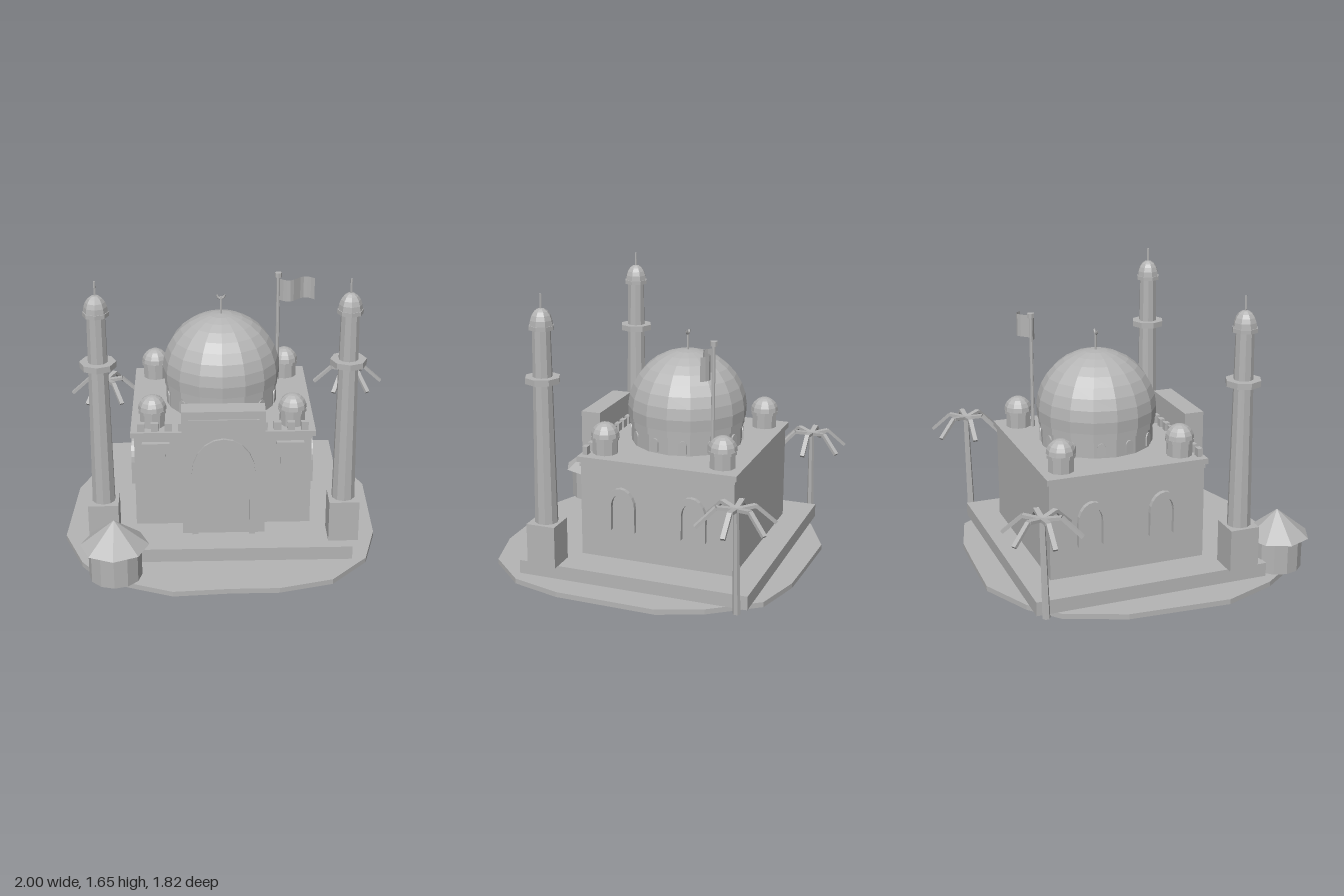
import * as THREE from 'three';

const stoneGrey = new THREE.MeshStandardMaterial({ color: 0xb4b4b4, flatShading: true, side: THREE.DoubleSide });
stoneGrey.name = 'stoneGrey';

const CX = -0.055, CZ = -0.15; // centre of the building

function add(parent, name, geometry, x = 0, y = 0, z = 0) {
  const mesh = new THREE.Mesh(geometry, stoneGrey);
  mesh.name = name;
  mesh.position.set(x, y, z);
  parent.add(mesh);
  return mesh;
}

function group(parent, name, x = 0, y = 0, z = 0) {
  const g = new THREE.Group();
  g.name = name;
  g.position.set(x, y, z);
  parent.add(g);
  return g;
}

// box given by its lower and upper corners
function box(parent, name, [x0, y0, z0], [x1, y1, z1]) {
  return add(parent, name, new THREE.BoxGeometry(x1 - x0, y1 - y0, z1 - z0),
    (x0 + x1) / 2, (y0 + y1) / 2, (z0 + z1) / 2);
}

// upright cylinder or cone from y0 to y1
function column(parent, name, rBottom, rTop, y0, y1, sides, x = 0, z = 0) {
  return add(parent, name, new THREE.CylinderGeometry(rTop, rBottom, y1 - y0, sides), x, (y0 + y1) / 2, z);
}

function dome(parent, name, r, y, sides, rings, sweep = Math.PI / 2) {
  return add(parent, name, new THREE.SphereGeometry(r, sides, rings, 0, Math.PI * 2, 0, sweep), 0, y, 0);
}

// square bar between two points
function bar(parent, name, a, b, width, thick) {
  const mesh = add(parent, name, new THREE.BoxGeometry(width, thick, a.distanceTo(b)));
  mesh.position.copy(a).lerp(b, 0.5);
  mesh.rotation.x = Math.atan2(a.y - b.y, b.z - a.z);
  return mesh;
}

function archPoints(half, spring, top) {
  const pts = [new THREE.Vector2(half, 0)];
  for (let i = 0; i <= 10; i++) {
    const t = (i / 10) * Math.PI;
    pts.push(new THREE.Vector2(half * Math.cos(t), spring + (top - spring) * Math.sin(t)));
  }
  pts.push(new THREE.Vector2(-half, 0));
  return pts;
}

// arch open at the bottom, standing on y = 0 and facing +z
function archFrame(half, spring, top, band, depth) {
  const outline = [...archPoints(half, spring, top), ...archPoints(half - band, spring, top - band).reverse()];
  return new THREE.ExtrudeGeometry(new THREE.Shape(outline), { depth, bevelEnabled: false });
}

function buildGround(parent) {
  const outline = [[-0.345, -0.91], [0, -0.9], [0.25, -0.89], [0.54, -0.81], [0.74, -0.54], [0.84, -0.29],
    [0.83, 0.3], [0.75, 0.59], [0.54, 0.81], [0.24, 0.89], [-0.03, 0.89], [-0.345, 0.91], [-0.55, 0.83],
    [-0.74, 0.75], [-0.86, 0.59], [-0.975, 0.29], [-0.94, -0.29], [-0.81, -0.62], [-0.64, -0.77]];
  const shape = new THREE.Shape(outline.map(([x, z]) => new THREE.Vector2(x, -z)));
  const geometry = new THREE.ExtrudeGeometry(shape, { depth: 0.03, bevelEnabled: false });
  add(parent, 'ground', geometry.rotateX(-Math.PI / 2));
  box(parent, 'platform', [-0.785, 0.03, -0.757], [0.67, 0.11, 0.6]);
}

function buildHall(parent) {
  const hall = group(parent, 'hall');
  box(hall, 'walls', [-0.56, 0.11, -0.605], [0.45, 0.675, 0.307]);
  box(hall, 'roofSlab', [-0.58, 0.672, -0.62], [0.472, 0.705, 0.322]);
  for (let i = -6; i <= 6; i++) {
    const x = CX + i * 0.0775;
    box(hall, 'merlon', [x - 0.021, 0.705, 0.275], [x + 0.021, 0.753, 0.305]);
  }
  // entrance
  box(hall, 'portal', [-0.29, 0.11, 0.305], [0.18, 0.877, 0.42]);
  box(hall, 'portalPanel', [-0.25, 0.79, 0.42], [0.145, 0.83, 0.428]);
  add(hall, 'doorFrame', archFrame(0.18, 0.39, 0.605, 0.034, 0.02), CX, 0.11, 0.417);
  // side windows and banners, mirrored
  for (const s of [-1, 1]) {
    for (const dz of [-0.21, 0.21]) {
      const frame = add(hall, 'windowFrame', archFrame(0.088, 0.14, 0.255, 0.034, 0.03),
        CX + s * 0.503, 0.29, CZ + dz);
      frame.rotation.y = s * Math.PI / 2;
    }
    const x = CX + s * 0.383;
    box(hall, 'bannerRod', [x - 0.078, 0.624, 0.307], [x + 0.078, 0.641, 0.335]);
    const cloth = new THREE.Shape([[-0.053, 0.625], [-0.053, 0.43], [0, 0.367], [0.053, 0.43], [0.053, 0.625]]
      .map(([u, v]) => new THREE.Vector2(u, v)));
    add(hall, 'banner', new THREE.ExtrudeGeometry(cloth, { depth: 0.009, bevelEnabled: false }), x, 0, 0.31);
  }
}

function buildDomes(parent) {
  const main = group(parent, 'mainDome', CX, 0, CZ);
  column(main, 'drum', 0.325, 0.325, 0.705, 0.82, 16);
  column(main, 'drumRing', 0.335, 0.335, 0.81, 0.855, 16);
  dome(main, 'domeShell', 0.346, 0.9, 16, 9, Math.PI * 0.545);
  for (let i = 0; i < 12; i++) {
    const a = (i + 0.5) * Math.PI / 6;
    const shape = new THREE.Shape(archPoints(0.024, 0.05, 0.075));
    const win = add(main, 'drumWindow', new THREE.ExtrudeGeometry(shape, { depth: 0.009, bevelEnabled: false }),
      Math.sin(a) * 0.32, 0.717, Math.cos(a) * 0.32);
    win.rotation.y = a;
  }
  column(main, 'finialRod', 0.007, 0.007, 1.24, 1.35, 6);
  const crescent = add(main, 'crescent', new THREE.TorusGeometry(0.021, 0.007, 6, 8, Math.PI), 0, 1.358, 0);
  crescent.rotation.z = Math.PI;

  for (const sx of [-1, 1]) for (const sz of [-1, 1]) {
    const small = group(parent, 'cornerDome', CX + sx * 0.4, 0, CZ + sz * 0.35);
    column(small, 'cornerDrum', 0.074, 0.074, 0.705, 0.81, 10);
    dome(small, 'cornerShell', 0.082, 0.803, 10, 5);
    column(small, 'cornerDomeBase', 0.082, 0.082, 0.785, 0.803, 10);
  }
}

function buildMinaret(parent, x) {
  const m = group(parent, 'minaret', x, 0, 0.445);
  box(m, 'minaretBase', [-0.085, 0.11, -0.085], [0.085, 0.355, 0.085]);
  column(m, 'shaft', 0.066, 0.051, 0.355, 1.47, 10);
  column(m, 'balcony', 0.1, 0.1, 1.166, 1.2, 8);
  column(m, 'collar', 0.071, 0.071, 1.462, 1.485, 8);
  const cap = dome(m, 'minaretDome', 0.066, 1.485, 8, 5);
  cap.scale.y = 1.42;
  column(m, 'spire', 0.006, 0.006, 1.57, 1.655, 6);
}

function buildHut(parent) {
  const hut = group(parent, 'hut', -0.663, 0, 0.722);
  column(hut, 'hutWall', 0.147, 0.147, 0.03, 0.225, 12);
  add(hut, 'hutRoof', new THREE.ConeGeometry(0.19, 0.153, 8), 0, 0.298, 0);
}

function buildPalm(parent, x, lean, z, height) {
  const palm = group(parent, 'palm', x, 0, z);
  // leaning trunk: the upper ring is shifted towards the crown
  const trunk = new THREE.CylinderGeometry(0.016, 0.022, height - 0.03, 6);
  const p = trunk.attributes.position;
  for (let i = 0; i < p.count; i++) if (p.getY(i) < 0) p.setX(i, p.getX(i) - lean);
  trunk.computeVertexNormals();
  add(palm, 'trunk', trunk, 0, (height + 0.03) / 2, 0);
  for (let i = 0; i < 6; i++) {
    const frond = group(palm, 'frond', 0, height, 0);
    frond.rotation.y = Math.PI / 2 + i * Math.PI / 3;
    const root = new THREE.Vector3(0, -0.005, 0);
    const knee = new THREE.Vector3(0, 0.012, 0.105);
    const tip = new THREE.Vector3(0, -0.088, 0.215);
    bar(frond, 'frondInner', root, knee, 0.03, 0.018);
    bar(frond, 'frondOuter', knee, tip, 0.026, 0.018);
  }
}

function buildFlag(parent) {
  const flag = group(parent, 'flag', 0.296, 0, -0.424);
  column(flag, 'flagPole', 0.011, 0.011, 0.705, 1.375, 8);
  column(flag, 'poleCap', 0.021, 0.021, 1.37, 1.397, 8);
  const cloth = new THREE.PlaneGeometry(0.212, 0.134, 10, 1);
  const p = cloth.attributes.position;
  for (let i = 0; i < p.count; i++) {
    const u = p.getX(i) / 0.212 + 0.5;
    p.setZ(i, 0.037 * Math.sin(u * Math.PI * 2));
  }
  cloth.computeVertexNormals();
  add(flag, 'flagCloth', cloth, 0.114, 1.292, 0);
}

export function createModel() {
  const model = new THREE.Group();
  model.name = 'domedHall';
  buildGround(model);
  buildHall(model);
  buildDomes(model);
  for (const s of [-1, 1]) buildMinaret(model, CX + s * 0.678);
  buildHut(model);
  buildPalm(model, -0.782, 0.04, -0.715, 0.585);
  buildPalm(model, 0.772, 0.045, -0.715, 0.645);
  buildFlag(model);
  return model;
}
